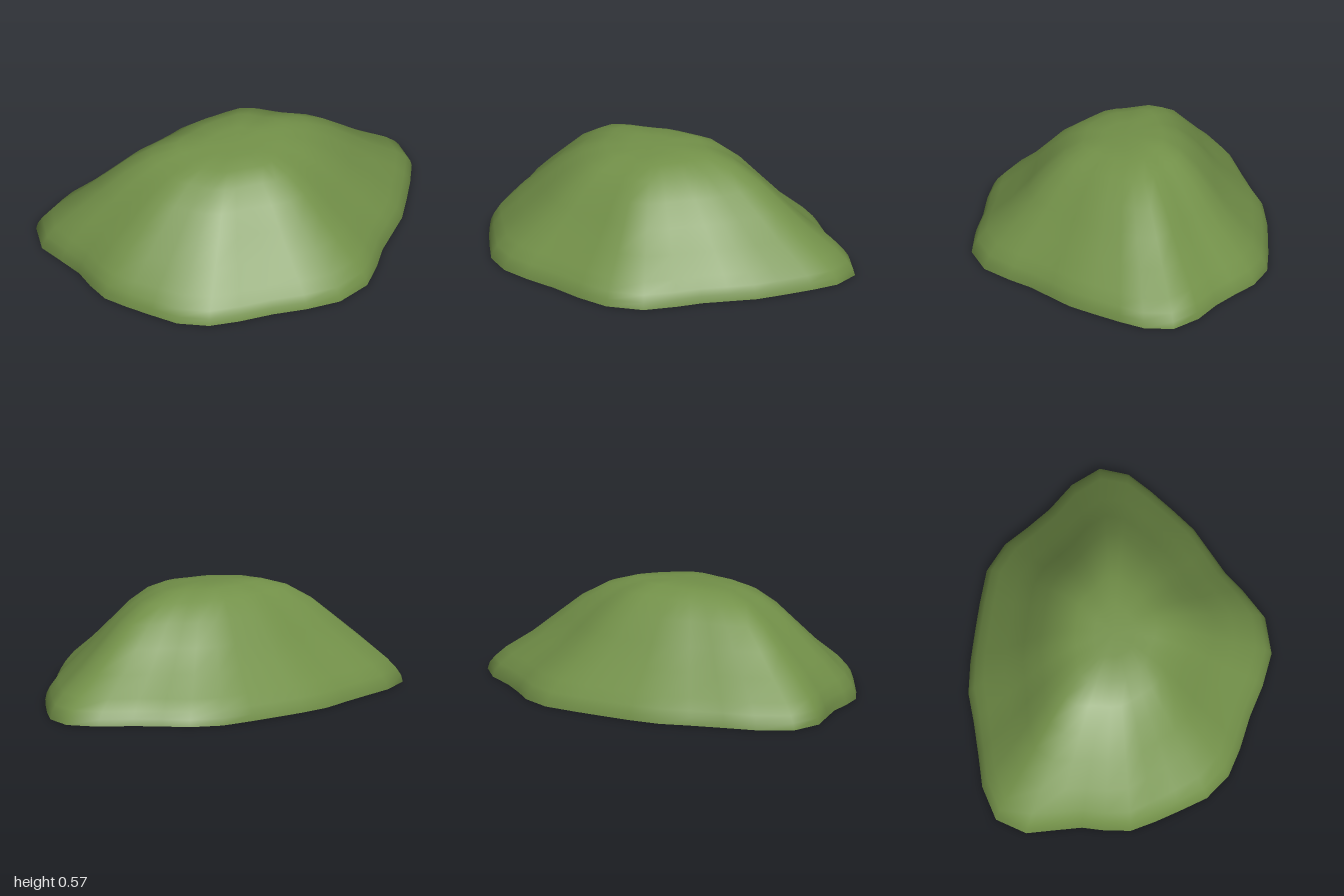
import * as THREE from 'three';

// Ground outline (x, z), running from the left tip round the front
const OUTLINE = [
  [1, -0.2], [0.98, -0.05], [0.9, 0.07], [0.8, 0.2], [0.71, 0.31], [0.6, 0.4], [0.49, 0.49],
  [0.4, 0.59], [0.27, 0.71], [0.08, 0.76], [-0.1, 0.73], [-0.27, 0.68], [-0.45, 0.645],
  [-0.6, 0.6], [-0.73, 0.5], [-0.81, 0.37], [-0.88, 0.25], [-0.94, 0.13], [-0.95, 0],
  [-0.945, -0.12], [-0.97, -0.25], [-1, -0.4], [-0.94, -0.56], [-0.77, -0.645], [-0.6, -0.68],
  [-0.42, -0.72], [-0.27, -0.76], [-0.1, -0.765], [0.08, -0.755], [0.22, -0.745],
  [0.4, -0.725], [0.55, -0.645], [0.65, -0.54], [0.76, -0.435], [0.9, -0.335],
];

// Slope from rim to summit: fraction of the outline radius, height
const PROFILE = [
  [1, 0], [0.99, 0.035], [0.965, 0.07], [0.91, 0.125], [0.78, 0.222], [0.66, 0.33],
  [0.54, 0.435], [0.41, 0.515], [0.28, 0.556], [0.14, 0.566],
];

// Broad shoulders on the upper slope: direction x, z and amount
const SHOULDERS = [[-0.99, -0.1, 0.09], [0.75, 0.66, 0.05]];

const CENTRE = [-0.08, -0.03];
const THICKNESS = 0.015;
const N = OUTLINE.length;

function buildGeometry(positions, index) {
  const geometry = new THREE.BufferGeometry();
  geometry.setAttribute('position', new THREE.Float32BufferAttribute(positions, 3));
  geometry.setIndex(index);
  geometry.computeVertexNormals();
  return geometry;
}

// Outer shell: shrinking outline rings, closed by one summit point
function hillGeometry() {
  const positions = [], index = [];
  for (const [s, h] of PROFILE) {
    for (const [ox, oz] of OUTLINE) {
      const dx = ox - CENTRE[0], dz = oz - CENTRE[1];
      const d = Math.hypot(dx, dz);
      // front and back slopes are a little steeper halfway up
      let k = s * (1 - 0.22 * s * (1 - s) * Math.abs(dz) / d);
      for (const [ax, az, amount] of SHOULDERS) {
        const facing = Math.max(0, (ax * dx + az * dz) / d) ** 6;
        k *= 1 + amount * facing * Math.min(1, (1 - s) * 5);
      }
      const x = CENTRE[0] + dx * k;
      const z = CENTRE[1] + dz * k;
      // the summit tilts gently up towards the back and drops to both sides
      const top = (1 - s) * Math.min(1, h / 0.5);
      positions.push(x, h - top * (0.1 * z + 0.03 * Math.abs(x - 0.08)), z);
    }
  }
  positions.push(CENTRE[0], 0.563, CENTRE[1]);

  const rings = PROFILE.length;
  for (let r = 0; r < rings; r++) {
    for (let i = 0; i < N; i++) {
      const j = (i + 1) % N;
      const a = r * N + i, b = r * N + j;
      if (r === rings - 1) index.push(a, rings * N, b);
      else index.push(a, a + N, b, b, a + N, b + N);
    }
  }
  return buildGeometry(positions, index);
}

// Inner shell: the outer one moved inwards and turned inside out
function liningGeometry(shell) {
  const p = shell.attributes.position, n = shell.attributes.normal;
  const positions = [];
  for (let i = 0; i < p.count; i++) {
    positions.push(
      p.getX(i) - n.getX(i) * THICKNESS,
      Math.max(0, p.getY(i) - n.getY(i) * THICKNESS),
      p.getZ(i) - n.getZ(i) * THICKNESS,
    );
  }
  return buildGeometry(positions, Array.from(shell.index.array).reverse());
}

// Flat strip facing down between the two shells
function rimGeometry(shell, lining) {
  const ring = (g) => Array.from(g.attributes.position.array.slice(0, N * 3));
  const index = [];
  for (let i = 0; i < N; i++) {
    const j = (i + 1) % N;
    index.push(i, j, i + N, j, j + N, i + N);
  }
  return buildGeometry([...ring(shell), ...ring(lining)], index);
}

export function createModel() {
  const grass = new THREE.MeshStandardMaterial({ color: 0x739149 });
  grass.name = 'grassGreen';
  const grey = new THREE.MeshStandardMaterial({ color: 0xdddddd });
  grey.name = 'paleGrey';

  const model = new THREE.Group();
  model.name = 'grassyHill';
  const add = (name, geometry, material) => {
    const mesh = new THREE.Mesh(geometry, material);
    mesh.name = name;
    model.add(mesh);
  };

  const shell = hillGeometry();
  const lining = liningGeometry(shell);
  add('hill', shell, grass);
  add('underside', lining, grey);
  add('rim', rimGeometry(shell, lining), grass);
  return model;
}
